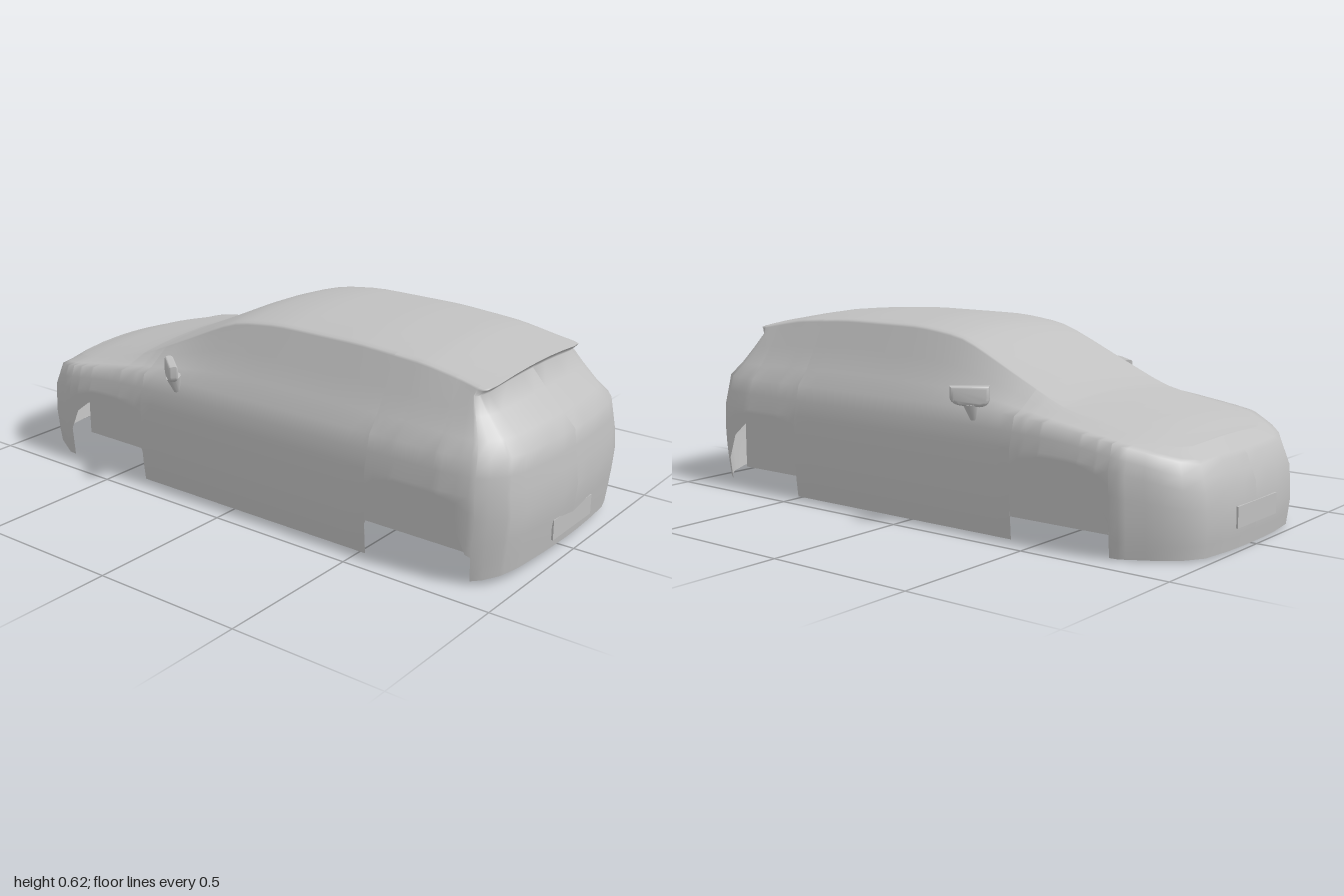
import * as THREE from 'three';
import { toCreasedNormals } from 'three/addons/utils/BufferGeometryUtils.js';

// Piecewise-linear lookup in [position, value] pairs, ascending
function lerpTable(t, v) {
  if (v <= t[0][0]) return t[0][1];
  for (let i = 1; i < t.length; i++) {
    if (v <= t[i][0]) {
      const [a, b] = [t[i - 1], t[i]];
      return a[1] + (b[1] - a[1]) * (v - a[0]) / (b[0] - a[0]);
    }
  }
  return t[t.length - 1][1];
}
// The same lookup with its corners rounded off
const softTable = (t, v) => [-0.04, -0.02, 0, 0.02, 0.04].reduce((s, d) => s + lerpTable(t, v + d) / 5, 0);
const mix = (a, b, t) => a.map((v, i) => v + (b[i] - v) * t);

// Half width of the plan outline along z (nose at -1, tail at +1)
const PLAN = [[-1, 0], [-0.999, 0.07], [-0.995, 0.15], [-0.98, 0.26], [-0.94, 0.32], [-0.89, 0.36], [-0.78, 0.42],
  [-0.7, 0.425], [0.78, 0.425], [0.87, 0.414], [0.92, 0.385], [0.955, 0.34], [0.98, 0.27], [0.993, 0.15],
  [0.9985, 0.07], [1, 0]];
// Lower edge with both wheel arches
const EDGE = [[-1, 0.005], [-0.751, 0.003], [-0.75, 0.1], [-0.71, 0.18], [-0.64, 0.232], [-0.51, 0.232],
  [-0.43, 0.18], [-0.4, 0.1], [-0.399, 0], [0.519, 0], [0.52, 0.1], [0.55, 0.18], [0.62, 0.232],
  [0.76, 0.232], [0.83, 0.18], [0.87, 0.1], [0.885, 0.09], [0.886, 0.012], [0.96, 0.024], [1, 0.036]];
// Heights of the centre line, the shoulder and the waist
const CENTRE = [[-0.9, 0.315], [-0.85, 0.338], [-0.78, 0.36], [-0.65, 0.388], [-0.5, 0.42], [-0.3, 0.51], [-0.2, 0.557],
  [-0.1, 0.6], [0, 0.614], [0.08, 0.623], [0.4, 0.624], [0.63, 0.609], [0.9, 0.56]];
const SHOULDER = [[-1, 0.265], [-0.9, 0.295], [-0.78, 0.327], [-0.5, 0.367], [-0.3, 0.38], [1, 0.385]];
const WAIST = [[-1, 0.19], [-0.8, 0.25], [-0.6, 0.28], [1, 0.28]];
// Roof and bonnet edge as a share of the half width; squared off at the tail
const ROOF_X = [[-1, 0.78], [-0.7, 0.71], [-0.4, 0.68], [-0.1, 0.65], [0.78, 0.65], [0.87, 0.68],
  [0.92, 0.73], [0.955, 0.8], [0.98, 0.9], [1, 1]];
const SIDE_X = [[0, 0.975], [0.05, 0.99], [0.12, 1], [0.28, 1]];

// Draw the nose and tail inward by a given amount
function pull(Z, nose, tail) {
  const e = Math.max(0, (Z - 0.6) / 0.4), f = Math.max(0, (-Z - 0.6) / 0.4);
  return Z - tail * e * e + nose * f * f;
}

// One half section at station Z, from the lower edge up to the centre
function section(Z) {
  const X = lerpTable(PLAN, Z), yb = lerpTable(EDGE, Z), yw = softTable(WAIST, Z), out = [];
  for (const t of [0, 0.2, 0.45, 0.72, 1]) {
    const y = yb + (yw - yb) * t;
    const nose = lerpTable([[0, 0.012], [0.1, 0], [0.2, 0.01], [0.28, 0.03]], y);
    const tail = lerpTable([[0.02, 0.025], [0.2, 0], [0.28, 0.008]], y);
    out.push([X * lerpTable(SIDE_X, y), y, pull(Z, nose, tail)]);
  }
  const shoulder = [X * 0.945, softTable(SHOULDER, Z), pull(Z, 0.04, 0.022)];
  const rz = pull(Z, 0.1, 0.15), rx = X * lerpTable(ROOF_X, Z);
  const crown = x => softTable(CENTRE, rz) - 0.021 * (x / 0.28) ** 2;
  const roof = [rx, crown(rx), rz];
  const belt = mix(shoulder, roof, 0.24);
  belt[0] -= 0.01 * X / 0.425;
  const window = mix(belt, roof, 0.45), lip = mix(belt, roof, 0.82);
  // Straight raked rear window, recessed under the tail lip
  const rake = THREE.MathUtils.clamp((Z - 0.85) / 0.1, 0, 1);
  belt[2] -= 0.012 * rake;
  window[2] -= 0.03 * rake;
  lip[2] -= 0.04 * rake;
  out.push(mix(out[4], shoulder, 0.5), shoulder, belt, window, lip, mix(lip, roof, 0.75), roof);
  for (const t of [0.93, 0.7, 0.4, 0]) out.push([rx * t, crown(rx * t), rz]);
  return out;
}

function bodyGeometry() {
  const zs = new Set([...PLAN, ...EDGE].map(p => p[0]));
  for (let i = -17; i <= 15; i++) zs.add(i / 20);
  const stations = [...zs].sort((a, b) => a - b), pos = [], idx = [];
  let cols = 0;
  for (const z of stations) {
    const half = section(z);
    const full = [...half, ...half.slice(0, -1).reverse().map(([x, y, w]) => [-x, y, w])];
    cols = full.length;
    full.forEach(p => pos.push(...p));
  }
  for (let i = 0; i < stations.length - 1; i++) {
    for (let j = 0; j < cols - 1; j++) {
      const a = i * cols + j, b = a + cols;
      idx.push(a, a + 1, b, a + 1, b + 1, b);
    }
  }
  const g = new THREE.BufferGeometry();
  g.setAttribute('position', new THREE.Float32BufferAttribute(pos, 3));
  g.setIndex(idx);
  g.computeVertexNormals();
  return g;
}

// Mirror housing: flat top, rounded underside
function housingGeometry() {
  const s = new THREE.Shape();
  s.moveTo(-0.061, 0.034);
  s.lineTo(0.061, 0.034);
  s.lineTo(0.061, -0.002);
  s.quadraticCurveTo(0.058, -0.022, 0.025, -0.027);
  s.lineTo(-0.03, -0.032);
  s.quadraticCurveTo(-0.061, -0.03, -0.061, -0.002);
  const g = new THREE.ExtrudeGeometry(s, { depth: 0.006, bevelThickness: 0.013, bevelSize: 0.012,
    bevelOffset: -0.012, bevelSegments: 4, curveSegments: 6 });
  g.translate(0, 0, -0.003);
  return toCreasedNormals(g, 0.9);
}

export function createModel() {
  const model = new THREE.Group();
  const paint = new THREE.MeshStandardMaterial({ color: 0xc0c0c0, side: THREE.DoubleSide });
  paint.name = 'grey paint';
  const add = (parent, name, geo, x = 0, y = 0, z = 0) => {
    const m = new THREE.Mesh(geo, paint);
    m.name = name;
    m.position.set(x, y, z);
    parent.add(m);
    return m;
  };

  // Open-bottomed shell
  add(model, 'bodyShell', bodyGeometry());

  // Number plates, almost flush with the shell
  const plate = new THREE.BoxGeometry(0.24, 0.065, 0.006);
  add(model, 'rearPlate', plate, 0, 0.102, 0.986);
  add(model, 'nosePlate', plate, 0, 0.102, -0.997);

  const housing = housingGeometry();
  for (const side of [1, -1]) {
    const label = side > 0 ? 'left' : 'right';
    // Inner wall behind the wheel arches
    const wall = add(model, label + 'InnerWall', new THREE.PlaneGeometry(1.765, 0.255), side * 0.269, 0.1525, 0.0625);
    wall.rotation.y = side * Math.PI / 2;

    const mirror = new THREE.Group();
    mirror.name = label + 'Mirror';
    mirror.scale.x = side;
    add(mirror, 'mirrorHousing', housing, 0.426, 0.421, -0.25).rotation.y = -0.88;
    const stalk = add(mirror, 'mirrorStalk', new THREE.CylinderGeometry(0.025, 0.012, 0.055, 10), 0.411, 0.376, -0.248);
    stalk.rotation.z = -0.3;
    model.add(mirror);
  }
  return model;
}
